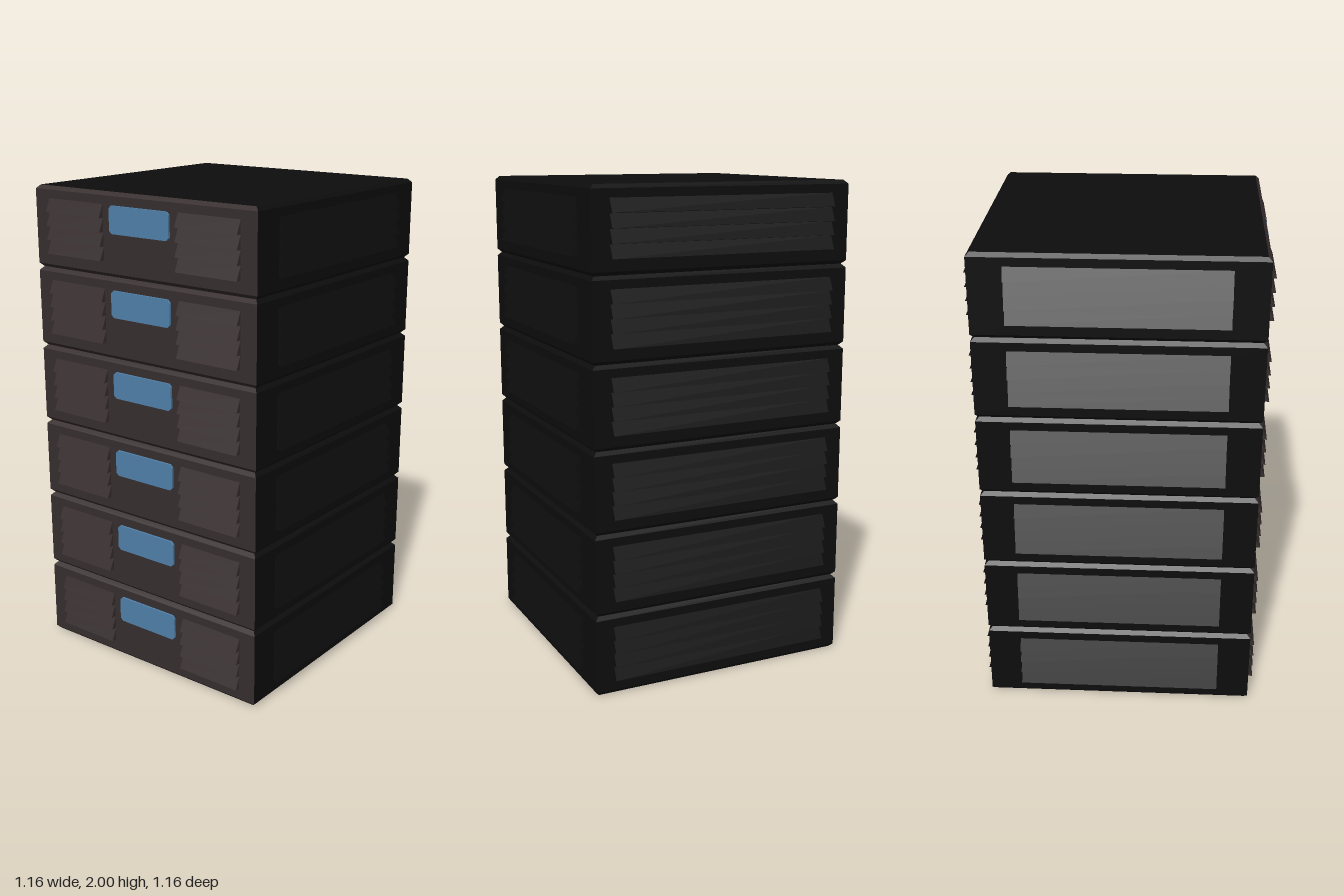
import * as THREE from 'three';

const UNITS = 6, H = 2 / UNITS, HALF = 0.555, BEVEL = 0.015;

export function createModel() {
  const black = new THREE.MeshStandardMaterial({ color: 0x0d0d0d, name: 'casing black' });
  const brown = new THREE.MeshStandardMaterial({ color: 0x372e2e, name: 'front panel brown' });
  const blue = new THREE.MeshStandardMaterial({ color: 0x5080aa, name: 'display blue' });

  // Casing: a box whose top and bottom rows are pulled in to chamfer the edges
  let casingGeo = new THREE.BoxGeometry(HALF * 2, H, HALF * 2, 1, 3, 1);
  const p = casingGeo.attributes.position;
  for (let i = 0; i < p.count; i++) {
    const y = p.getY(i);
    if (Math.abs(y) > H * 0.4) {
      const k = (HALF - BEVEL) / HALF;
      p.setX(i, p.getX(i) * k);
      p.setZ(i, p.getZ(i) * k);
    } else {
      p.setY(i, Math.sign(y) * (H / 2 - BEVEL));
    }
  }
  casingGeo = casingGeo.toNonIndexed();
  casingGeo.computeVertexNormals();
  casingGeo.translate(0, H / 2, 0);
  const casingMats = [black, black, black, black, brown, black];

  // Wedge-shaped vent slat, centred on x, sloping out along +z toward its lower edge
  const slatGeo = (length) => {
    const s = new THREE.Shape([
      new THREE.Vector2(0, 0), new THREE.Vector2(0.023, 0), new THREE.Vector2(0, 0.053),
    ]);
    const g = new THREE.ExtrudeGeometry(s, { depth: length, bevelEnabled: false });
    g.translate(0, 0, -length / 2);
    g.rotateY(-Math.PI / 2);
    return g;
  };
  const frontSlat = slatGeo(0.29), sideSlat = slatGeo(0.84), backSlat = slatGeo(0.96);

  // Display plate with clipped corners
  const w = 0.15, h = 0.055, c = 0.012;
  const plate = new THREE.Shape([
    [-w + c, -h], [w - c, -h], [w, -h + c], [w, h - c],
    [w - c, h], [-w + c, h], [-w, h - c], [-w, -h + c],
  ].map(([x, y]) => new THREE.Vector2(x, y)));
  const displayGeo = new THREE.ExtrudeGeometry(plate, { depth: 0.009, bevelEnabled: false });

  const vent = (name, geo, mat, angle, offset = 0) => {
    const group = new THREE.Group();
    group.name = name;
    for (let i = 0; i < 4; i++) {
      const slat = new THREE.Mesh(geo, mat);
      slat.name = 'ventSlat';
      slat.position.set(offset, 0.063 + i * 0.056, HALF);
      group.add(slat);
    }
    group.rotation.y = angle;
    return group;
  };

  const model = new THREE.Group();
  model.name = 'stackedCabinet';
  for (let u = 0; u < UNITS; u++) {
    const unit = new THREE.Group();
    unit.name = 'rackUnit';
    unit.position.y = u * H;
    const casing = new THREE.Mesh(casingGeo, casingMats);
    casing.name = 'casing';
    const display = new THREE.Mesh(displayGeo, blue);
    display.name = 'display';
    display.position.set(0, 0.228, HALF);
    unit.add(
      casing, display,
      vent('frontVentLeft', frontSlat, brown, 0, 0.335),
      vent('frontVentRight', frontSlat, brown, 0, -0.335),
      vent('sideVentLeft', sideSlat, black, Math.PI / 2),
      vent('sideVentRight', sideSlat, black, -Math.PI / 2),
      vent('backVent', backSlat, black, Math.PI),
    );
    model.add(unit);
  }
  return model;
}
